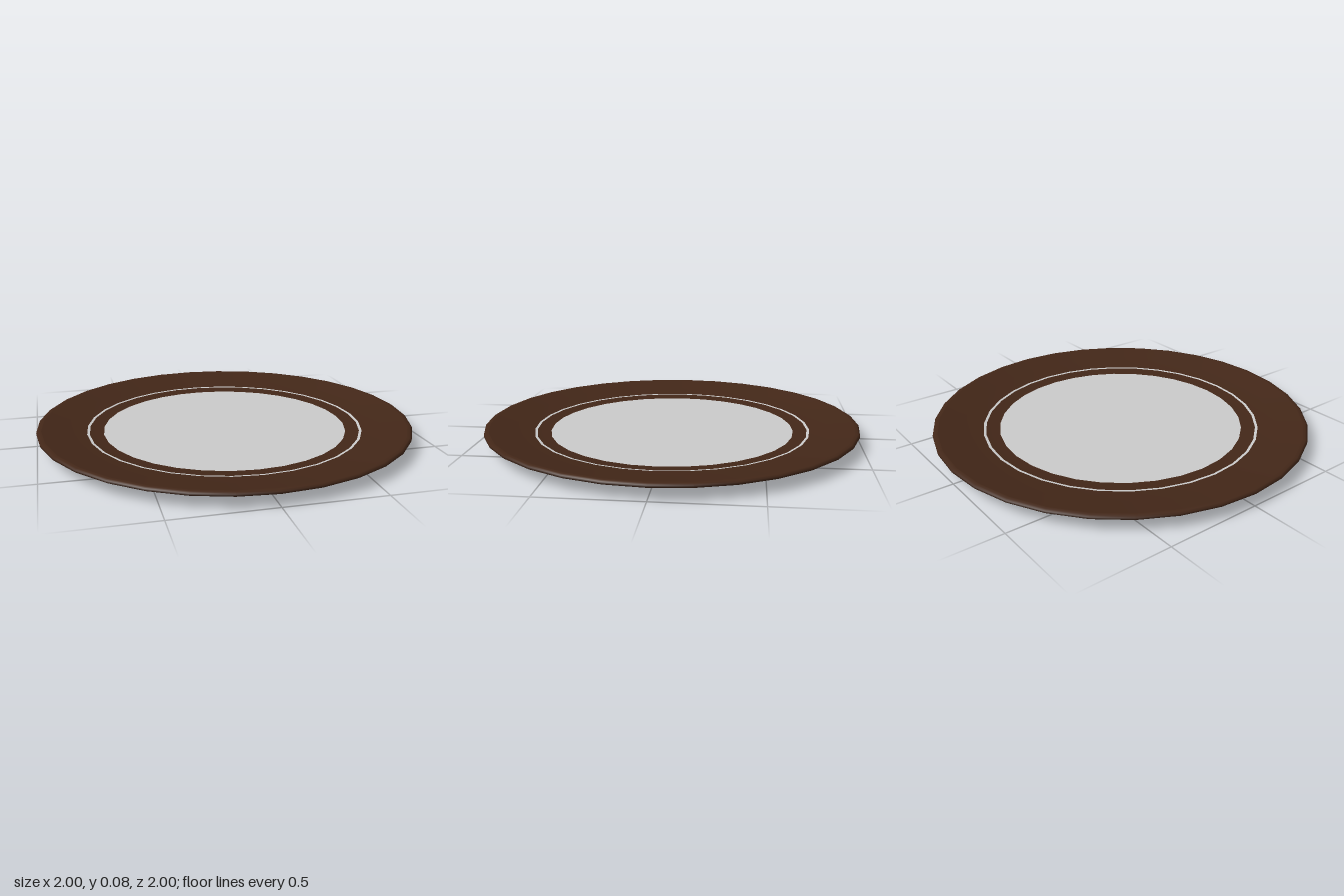
import * as THREE from 'three';

const SEGMENTS = 32;

// Surface of revolution from [radius, height] pairs
function turned(name, profile, material) {
  const points = profile.map(([r, y]) => new THREE.Vector2(r, y));
  const mesh = new THREE.Mesh(new THREE.LatheGeometry(points, SEGMENTS), material);
  mesh.name = name;
  return mesh;
}

export function createModel() {
  const plate = new THREE.Group();
  plate.name = 'plate';
  const brown = new THREE.MeshStandardMaterial({ color: 0x432718, side: THREE.DoubleSide });
  const grey = new THREE.MeshStandardMaterial({ color: 0xcccccc, side: THREE.DoubleSide });

  // Underside: nearly flat base, then a flare out to the rim
  plate.add(turned('underside', [[0, 0], [0.45, 0.002], [0.8, 0.01], [0.99, 0.058]], brown));

  // Slightly rounded outer edge
  plate.add(turned('rimEdge', [[0.99, 0.058], [1, 0.064], [1, 0.074], [0.99, 0.08], [0.975, 0.08]], brown));

  // Broad dished border sloping down to the well
  plate.add(turned('border', [[0.975, 0.08], [0.85, 0.058], [0.74, 0.04], [0.655, 0.034]], brown));

  // Flat centre of the plate
  plate.add(turned('centre', [[0.655, 0.034], [0, 0.034]], grey));

  // Thin decorative band, thinner on one side
  const band = turned('band', [[0.742, 0.0425], [0.728, 0.041]], grey);
  band.position.x = -0.001;
  plate.add(band);

  return plate;
}
